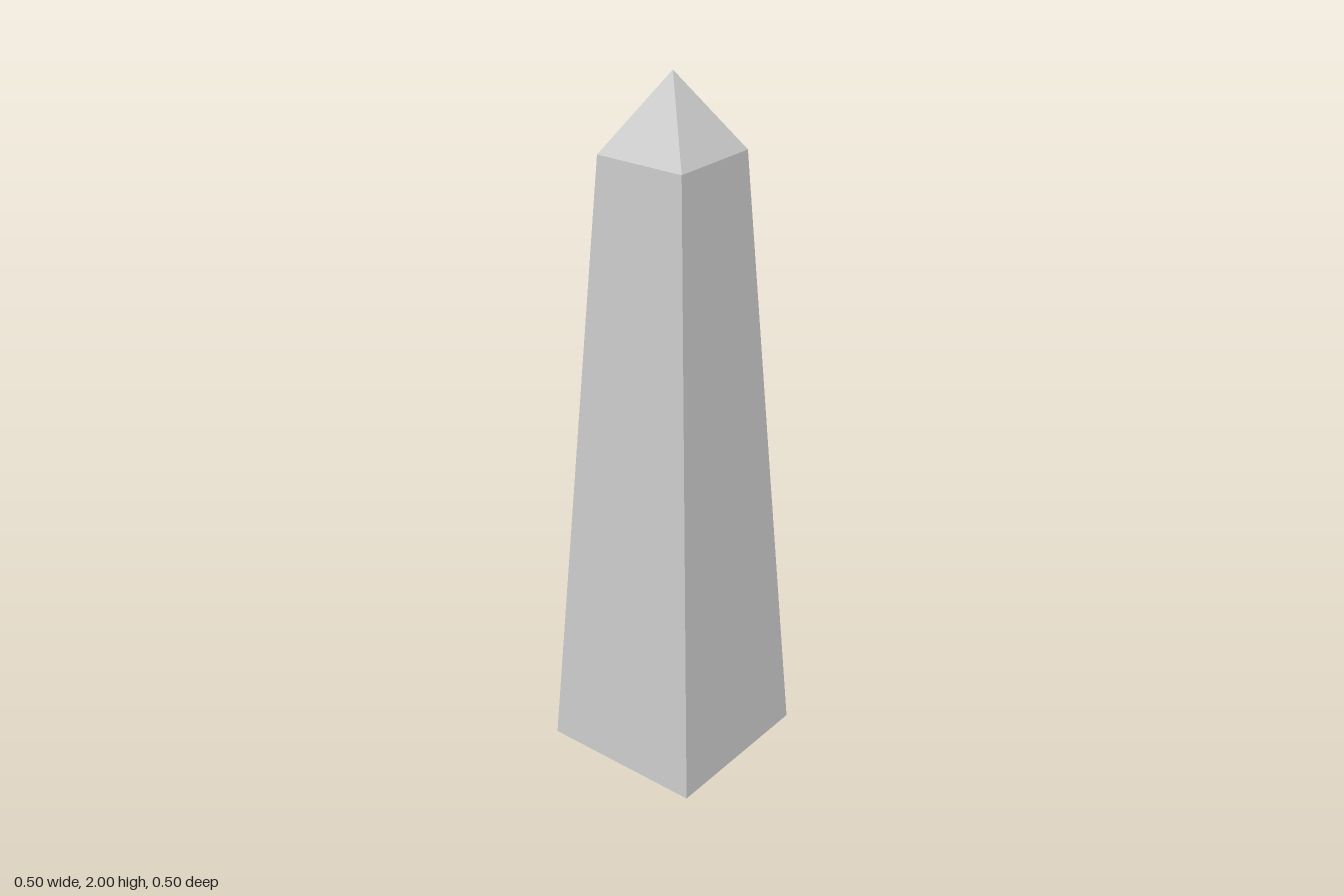
import * as THREE from 'three';

// Four-sided shell from [half width, height] pairs, listed from bottom to top
function squareShell(name, profile, material) {
  const points = profile.map(([half, y]) => new THREE.Vector2(half * Math.SQRT2, y));
  const geometry = new THREE.LatheGeometry(points, 4, Math.PI / 4).toNonIndexed();
  geometry.computeVertexNormals();
  const mesh = new THREE.Mesh(geometry, material);
  mesh.name = name;
  return mesh;
}

export function createModel() {
  const model = new THREE.Group();
  model.name = 'obelisk';
  const stone = new THREE.MeshStandardMaterial({
    color: 0xcccccc, flatShading: true, side: THREE.DoubleSide,
  });

  // Tapered shaft, open underneath, and its pyramid cap
  model.add(squareShell('shaft', [[0.248, 0], [0.136, 1.79]], stone));
  model.add(squareShell('cap', [[0.136, 1.79], [0, 2]], stone));

  // Smaller hollow lining nested inside, also open underneath
  model.add(squareShell('innerLining', [[0.179, 0], [0.07, 1.74], [0, 1.85]], stone));
  return model;
}
